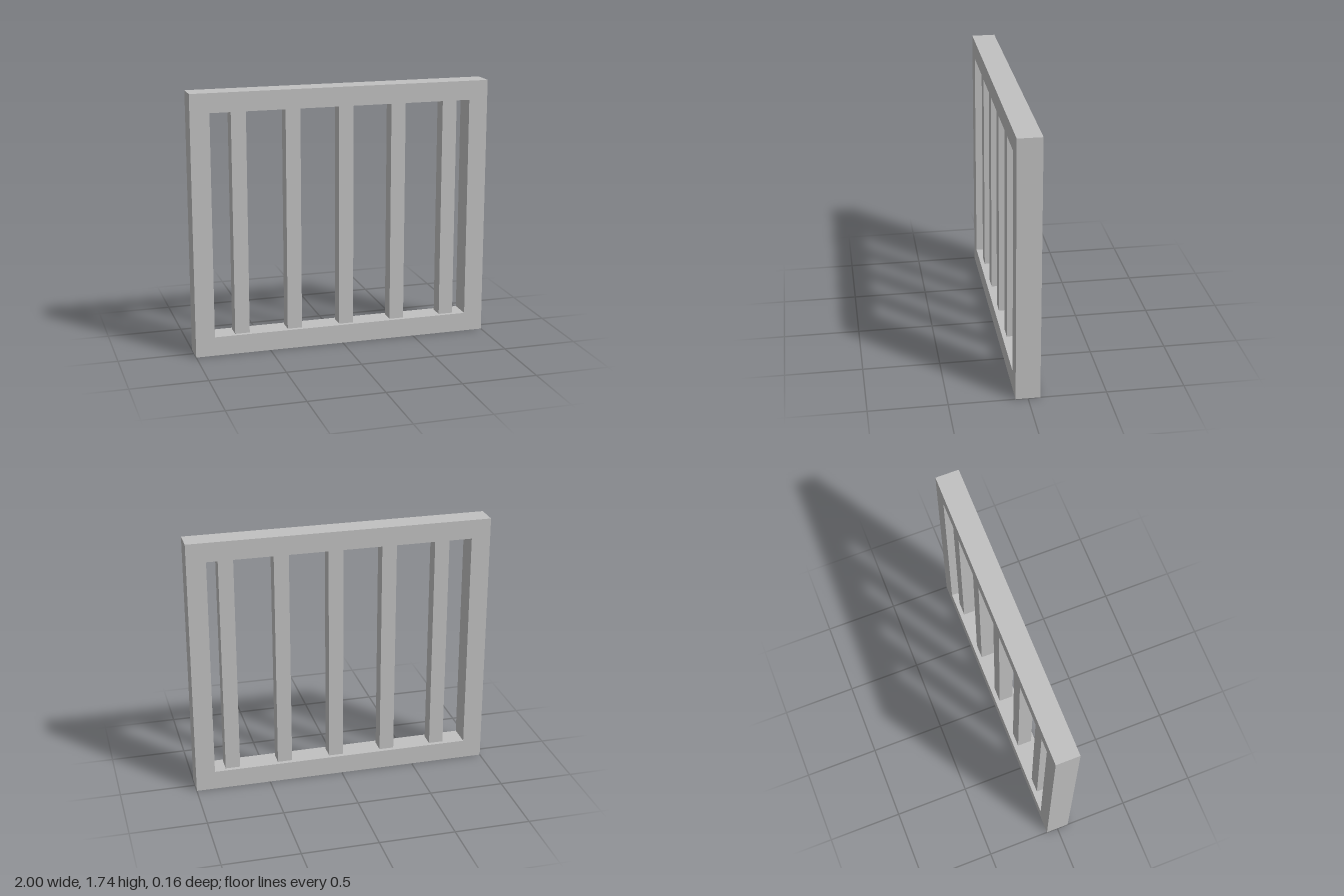
import * as THREE from 'three';

const WIDTH = 2, HEIGHT = 1.74, DEPTH = 0.156;
const BORDER = 0.127, BAR = 0.098;

// Closed rectangular outline from two opposite corners
function rectangle(PathType, x0, y0, x1, y1) {
  const path = new PathType();
  path.moveTo(x0, y0);
  path.lineTo(x1, y0);
  path.lineTo(x1, y1);
  path.lineTo(x0, y1);
  path.closePath();
  return path;
}

export function createModel() {
  const model = new THREE.Group();
  model.name = 'barredWindow';

  const grey = new THREE.MeshStandardMaterial({ color: 0xc0c0c0 });
  grey.name = 'grey';

  // Outer frame with one opening
  const half = WIDTH / 2;
  const outline = rectangle(THREE.Shape, -half, 0, half, HEIGHT);
  outline.holes.push(
    rectangle(THREE.Path, -half + BORDER, BORDER, half - BORDER, HEIGHT - BORDER));
  const frameGeometry = new THREE.ExtrudeGeometry(outline, { depth: DEPTH, bevelEnabled: false });
  frameGeometry.translate(0, 0, -DEPTH / 2);
  const frame = new THREE.Mesh(frameGeometry, grey);
  frame.name = 'frame';
  model.add(frame);

  // Five square upright bars, evenly spaced and set slightly towards +x
  const barGeometry = new THREE.BoxGeometry(BAR, HEIGHT - 2 * BORDER, BAR);
  for (let i = 0; i < 5; i++) {
    const bar = new THREE.Mesh(barGeometry, grey);
    bar.name = `bar${i + 1}`;
    bar.position.set(0.032 + (i - 2) * 0.357, HEIGHT / 2, 0);
    model.add(bar);
  }

  return model;
}
